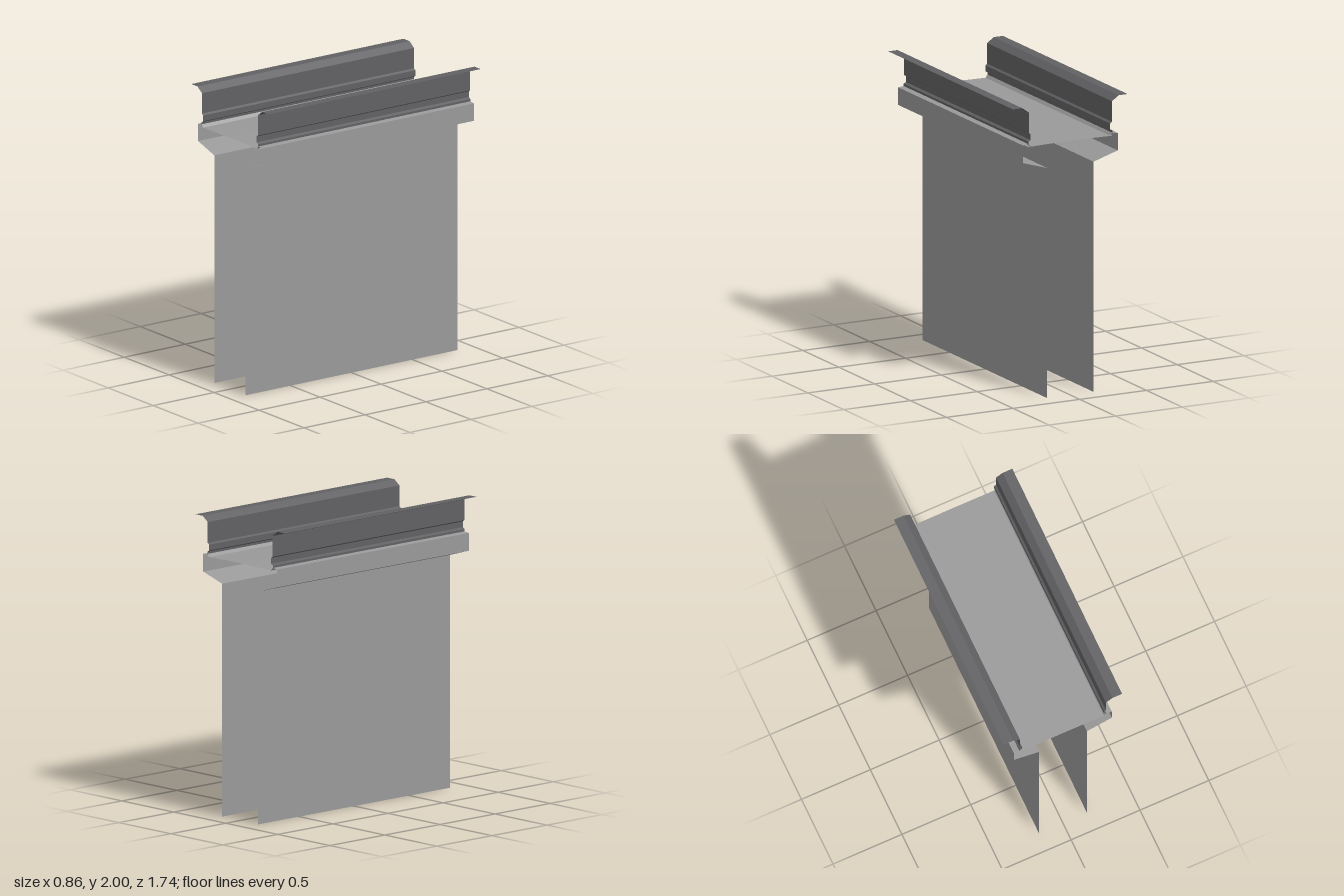
import * as THREE from 'three';

const HALF = 0.87; // half the length along z

const concrete = new THREE.MeshStandardMaterial({ color: 0x999999, side: THREE.DoubleSide });
concrete.name = 'concrete';
const steel = new THREE.MeshStandardMaterial({ color: 0x616164, side: THREE.DoubleSide });
steel.name = 'barrier steel';

// Thin sheet: an open [x, y] profile swept along z, with flat facets
function sheet(name, profile, material, mirror = 1) {
  const pos = [];
  for (let i = 0; i < profile.length - 1; i++) {
    const [ax, ay] = profile[i];
    const [bx, by] = profile[i + 1];
    const a0 = [ax * mirror, ay, -HALF], a1 = [ax * mirror, ay, HALF];
    const b0 = [bx * mirror, by, -HALF], b1 = [bx * mirror, by, HALF];
    const corners = mirror > 0 ? [a0, b0, a1, b0, b1, a1] : [a0, a1, b0, b0, a1, b1];
    pos.push(...corners.flat());
  }
  const geometry = new THREE.BufferGeometry();
  geometry.setAttribute('position', new THREE.Float32BufferAttribute(pos, 3));
  geometry.computeVertexNormals();
  const mesh = new THREE.Mesh(geometry, material);
  mesh.name = name;
  return mesh;
}

export function createModel() {
  const group = new THREE.Group();
  group.name = 'bridgeSection';

  // Road deck, slightly crowned
  group.add(sheet('deck', [
    [0.315, 1.73], [0.153, 1.733], [0, 1.735], [-0.153, 1.733], [-0.315, 1.73],
  ], concrete));

  for (const [side, m] of [['left', 1], ['right', -1]]) {
    // Pier wall, haunch and edge beam
    group.add(sheet(side + 'PierWall', [[0.174, 0], [0.174, 1.57]], concrete, m));
    group.add(sheet(side + 'Haunch', [[0.174, 1.57], [0.355, 1.625]], concrete, m));
    group.add(sheet(side + 'EdgeBeam', [
      [0.355, 1.625], [0.355, 1.745], [0.315, 1.75], [0.298, 1.731],
    ], concrete, m));
    // Folded barrier with an outward flared cap
    group.add(sheet(side + 'Barrier', [
      [0.315, 1.75], [0.315, 1.765], [0.298, 1.775], [0.298, 1.815],
      [0.312, 1.825], [0.312, 1.965], [0.36, 2], [0.43, 2],
    ], steel, m));
  }
  return group;
}
